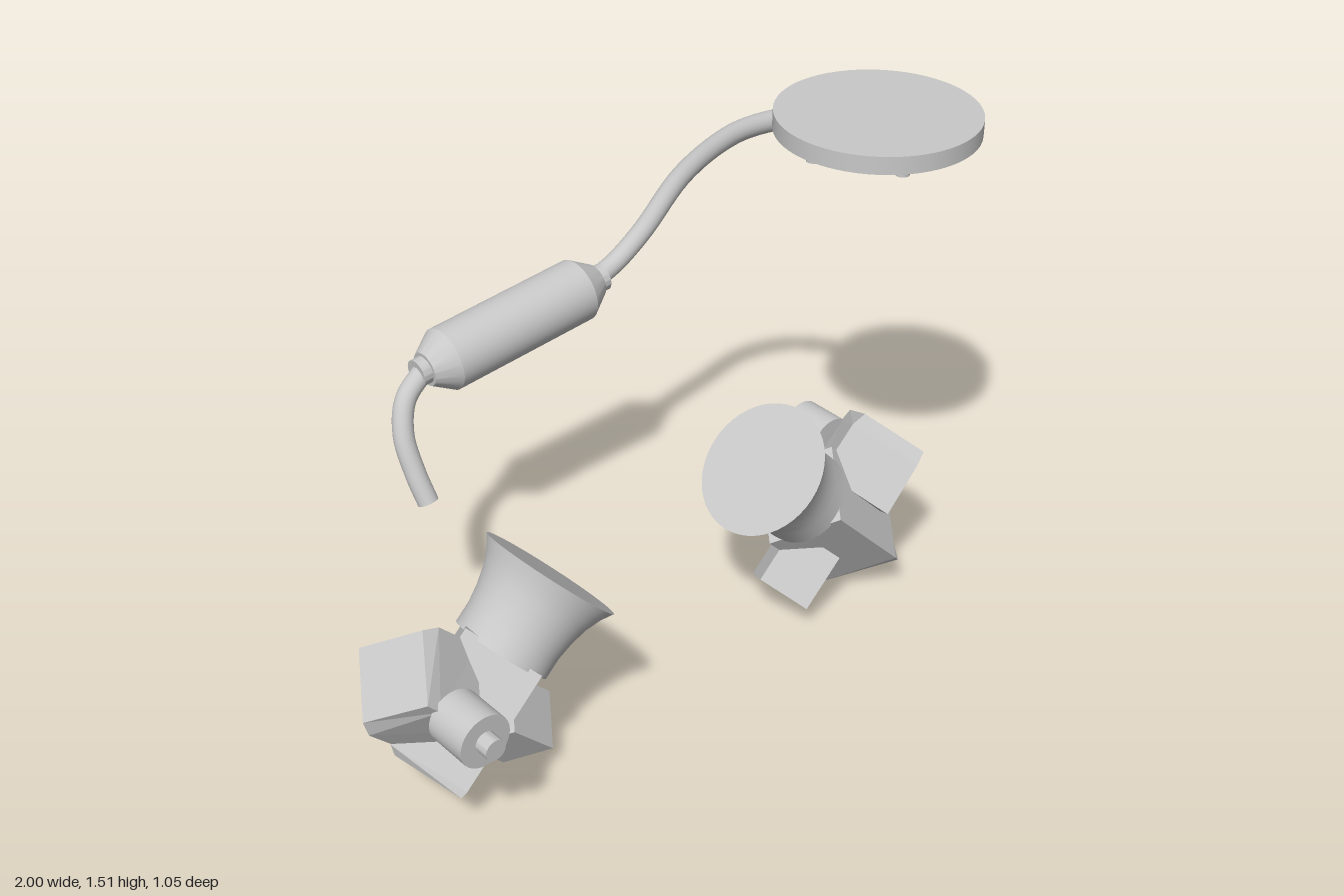
import * as THREE from 'three';
import { toCreasedNormals } from 'three/addons/utils/BufferGeometryUtils.js';

const grey = new THREE.MeshStandardMaterial({ color: 0xc8c8c8 });
grey.name = 'plain grey';

function add(parent, name, geometry, position = [0, 0, 0], rotation = [0, 0, 0]) {
  const mesh = new THREE.Mesh(geometry, grey);
  mesh.name = name;
  mesh.position.set(...position);
  mesh.rotation.set(...rotation);
  parent.add(mesh);
  return mesh;
}

// Round solid from a [radius, height] profile, closed at both ends
function turned(profile, segments = 48) {
  const points = profile.map(([r, y]) => new THREE.Vector2(r, y));
  points.unshift(new THREE.Vector2(0, profile[0][1]));
  points.push(new THREE.Vector2(0, profile[profile.length - 1][1]));
  return toCreasedNormals(new THREE.LatheGeometry(points, segments), 0.5);
}

// Diamond-section solid from rings of [height, half width x, half width z]
function diamond(rings) {
  const all = [[rings[0][0], 0, 0], ...rings, [rings[rings.length - 1][0], 0, 0]];
  const lathe = new THREE.LatheGeometry(all.map(([h, x]) => new THREE.Vector2(x, h)), 4);
  const pos = lathe.attributes.position;
  for (let i = 0; i < pos.count; i++) {
    const [, x, z] = all[i % all.length];
    if (x > 0) pos.setZ(i, pos.getZ(i) * z / x);
  }
  const flat = lathe.toNonIndexed();
  flat.computeVertexNormals();
  return flat;
}

// Bent pipe with closed ends
function pipe(parent, name, points, radius) {
  const group = new THREE.Group();
  group.name = name;
  const curve = new THREE.CatmullRomCurve3(points.map((p) => new THREE.Vector3(...p)));
  add(group, name + 'Wall', new THREE.TubeGeometry(curve, 48, radius, 20));
  for (const end of [0, 1]) {
    const at = curve.getPoint(end);
    const dir = curve.getTangent(end).multiplyScalar(end ? 1 : -1);
    const cap = add(group, name + 'Cap', new THREE.CircleGeometry(radius, 20), at.toArray());
    cap.quaternion.setFromUnitVectors(new THREE.Vector3(0, 0, 1), dir);
  }
  parent.add(group);
}

// Horn unit: its axis is local y, later tilted by 45 degrees
function hornUnit(name) {
  const g = new THREE.Group();
  g.name = name;
  add(g, 'body', diamond([[0, 0.128, 0.155], [0.022, 0.164, 0.16], [0.371, 0.164, 0.16]]));
  add(g, 'horn', turned([
    [0.138, 0.36], [0.138, 0.42], [0.145, 0.47], [0.157, 0.52], [0.175, 0.562], [0.195, 0.594],
  ]));
  add(g, 'largeSideBlock',
    diamond([[0.09, 0.16, 0.16], [0.252, 0.16, 0.155], [0.297, 0.136, 0.148]]),
    [0, 0.184, 0], [0, 0, Math.PI / 2]);
  add(g, 'smallSideBlock', diamond([[0.09, 0.113, 0.113], [0.265, 0.113, 0.113]]),
    [0, 0.2, 0], [0, 0, -Math.PI / 2]);
  add(g, 'knob', turned([
    [0.075, 0.14], [0.075, 0.27], [0.03, 0.27], [0.03, 0.312],
  ], 32), [-0.187, 0.187, 0], [Math.PI / 2, 0, 0]);
  return g;
}

export function createModel() {
  const model = new THREE.Group();
  model.name = 'hornsAndPipe';

  // Two equal horn units, one turned to face the other
  const right = hornUnit('rightHornUnit');
  right.position.set(-0.82, 0.13, 0.21);
  right.rotation.set(0, 0, -Math.PI / 4);
  const left = hornUnit('leftHornUnit');
  left.position.set(0.77, 0.13, 0.21);
  left.rotation.set(0, Math.PI, -Math.PI / 4);
  model.add(right, left);

  // Round plate with six bolts underneath
  const plate = new THREE.Group();
  plate.name = 'plate';
  plate.position.set(0.723, 1.49, 0.207);
  add(plate, 'plateDisc', new THREE.CylinderGeometry(0.277, 0.277, 0.05, 64));
  for (let i = 0; i < 6; i++) {
    const a = (i * Math.PI) / 3;
    add(plate, 'bolt', new THREE.CylinderGeometry(0.019, 0.019, 0.03, 16),
      [0.235 * Math.cos(a), -0.03, 0.235 * Math.sin(a)]);
  }
  model.add(plate);

  // Canister with coned ends and collars
  add(model, 'canister', turned([
    [0.04, -0.33], [0.04, -0.302], [0.05, -0.302], [0.0925, -0.236],
    [0.0925, 0.236], [0.05, 0.302], [0.04, 0.302], [0.04, 0.33],
  ]), [-0.018, 0.866, -0.433], [0, 0, -Math.PI / 2 + 0.105]);

  // Pipes on both sides of the canister
  pipe(model, 'upperPipe', [
    [0.72, 1.445, 0.015], [0.695, 1.385, -0.13], [0.655, 1.295, -0.28], [0.578, 1.155, -0.395],
    [0.46, 1.0, -0.432], [0.37, 0.93, -0.44], [0.28, 0.897, -0.436],
  ], 0.03);
  pipe(model, 'lowerPipe', [
    [-0.32, 0.835, -0.433], [-0.395, 0.775, -0.42], [-0.43, 0.69, -0.388],
    [-0.43, 0.59, -0.342], [-0.42, 0.51, -0.302],
  ], 0.03);

  return model;
}
